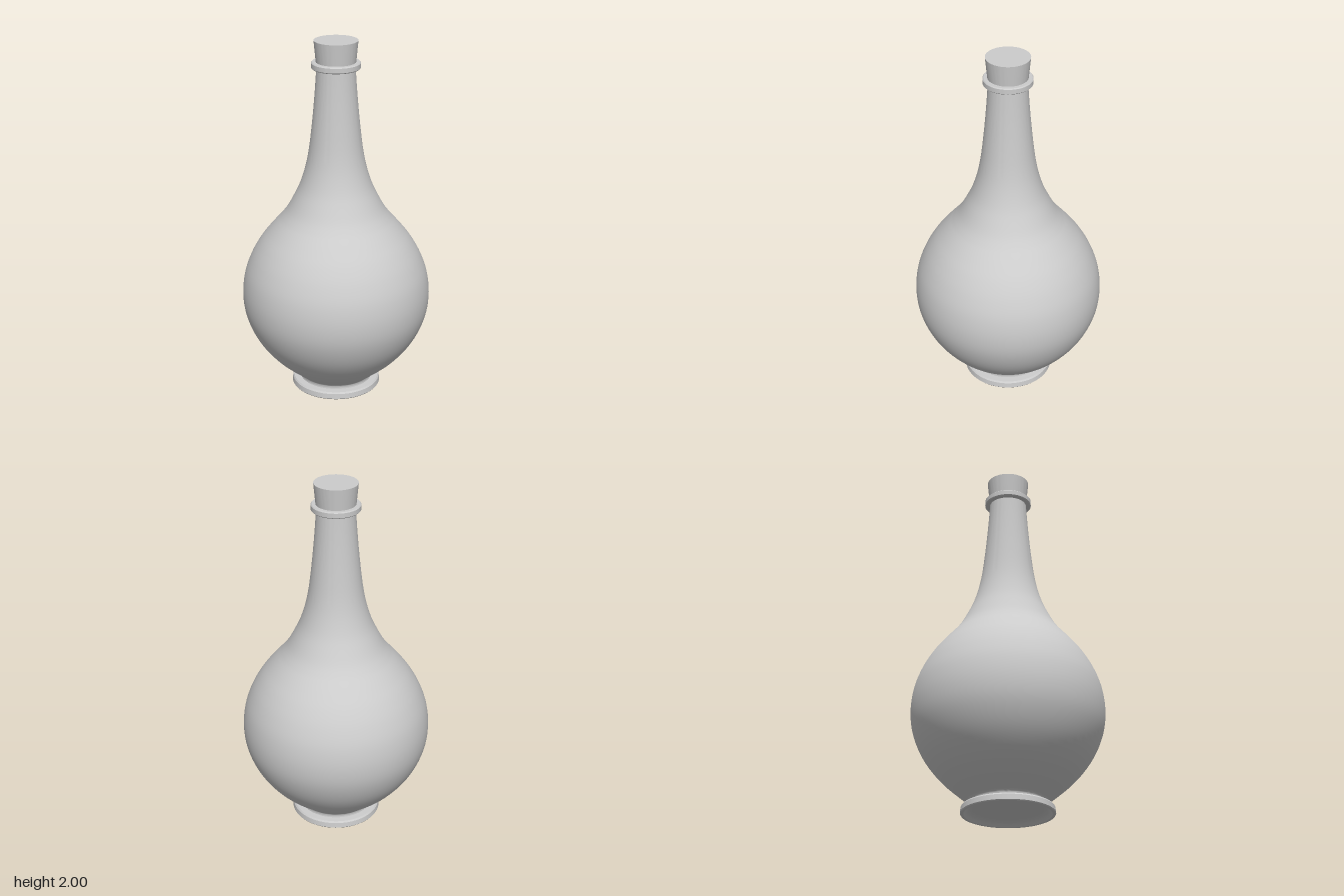
import * as THREE from 'three';
import { toCreasedNormals } from 'three/addons/utils/BufferGeometryUtils.js';

const SEGMENTS = 96;
const material = new THREE.MeshStandardMaterial({ color: 0xcccccc, side: THREE.DoubleSide });
const toPoints = (pairs) => pairs.map(([r, y]) => new THREE.Vector2(r, y));

// Smooth curve through [radius, height] pairs
const smooth = (pairs, divisions) => new THREE.SplineCurve(toPoints(pairs)).getPoints(divisions);

// Turned part; edges sharper than the crease angle stay crisp
function turned(name, points, crease = 0.6) {
  const geometry = toCreasedNormals(new THREE.LatheGeometry(points, SEGMENTS), crease);
  const mesh = new THREE.Mesh(geometry, material);
  mesh.name = name;
  return mesh;
}

export function createModel() {
  const group = new THREE.Group();
  group.name = 'corkedBottle';

  // Round belly running into a flared neck
  const belly = smooth([
    [0.205, 0.04], [0.207, 0.065], [0.25, 0.1], [0.363, 0.2], [0.452, 0.315], [0.506, 0.44],
    [0.522, 0.56], [0.508, 0.68], [0.47, 0.785], [0.42, 0.872], [0.365, 0.943], [0.307, 1.01],
  ], 56);
  const neck = smooth([
    [0.307, 1.01], [0.27, 1.06], [0.232, 1.13], [0.197, 1.205], [0.167, 1.3], [0.147, 1.4],
    [0.132, 1.52], [0.12, 1.64], [0.111, 1.75], [0.104, 1.855],
  ], 32);
  group.add(turned('body', [...belly, ...neck.slice(1)], 0.8));

  // Foot ring with a shallow hollow underneath
  const hollow = smooth([[0, 0.045], [0.1, 0.04], [0.18, 0.03], [0.212, 0.018], [0.232, 0]], 14);
  group.add(turned('foot', [
    ...hollow,
    ...toPoints([[0.246, 0], [0.25, 0.005], [0.247, 0.033], [0.24, 0.041], [0.205, 0.043]]),
  ]));

  // Collar around the mouth
  group.add(turned('lip', toPoints([
    [0.1, 1.85], [0.127, 1.85], [0.132, 1.855], [0.132, 1.88], [0.127, 1.885], [0.1, 1.885],
  ])));

  // Tapered stopper
  group.add(turned('stopper', toPoints([
    [0, 1.8], [0.098, 1.8], [0.107, 1.885], [0.118, 2], [0, 2],
  ])));

  return group;
}
